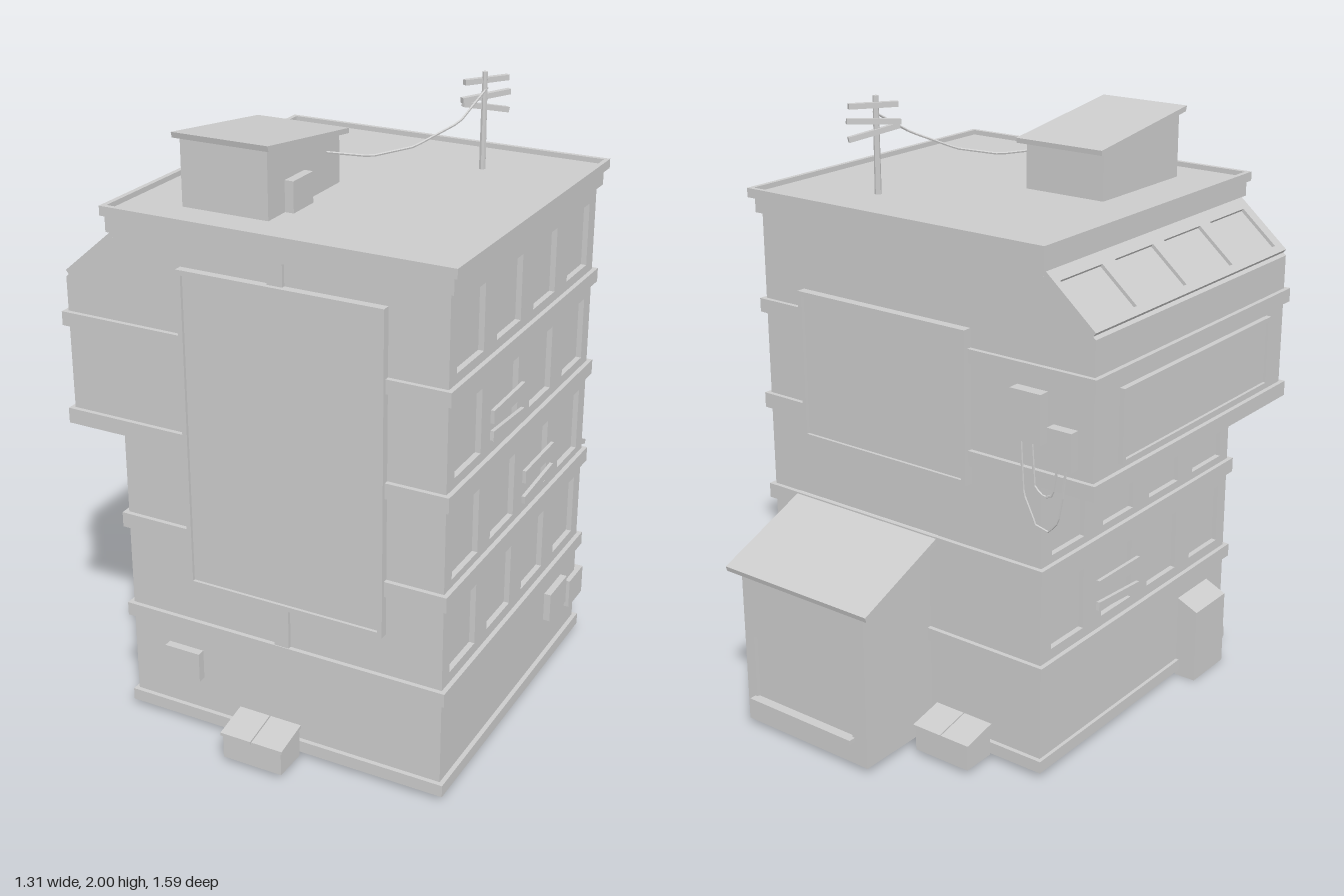
import * as THREE from 'three';

const mat = new THREE.MeshStandardMaterial({ color: 0xcccccc, flatShading: true, side: THREE.DoubleSide });

function add(parent, name, geo) {
  const m = new THREE.Mesh(geo, mat);
  m.name = name;
  parent.add(m);
  return m;
}
// Box given by its min and max on each axis
function box(parent, name, x0, x1, y0, y1, z0, z1) {
  const m = add(parent, name, new THREE.BoxGeometry(x1 - x0, y1 - y0, z1 - z0));
  m.position.set((x0 + x1) / 2, (y0 + y1) / 2, (z0 + z1) / 2);
  return m;
}
function rect(x0, x1, y0, y1) {
  return [[x0, y0], [x1, y0], [x1, y1], [x0, y1]].map(p => new THREE.Vector2(...p));
}
function extrude(points, holes, depth) {
  const s = new THREE.Shape(points);
  for (const h of holes) s.holes.push(new THREE.Path(h));
  return new THREE.ExtrudeGeometry(s, { depth, bevelEnabled: false });
}
// Profile of [z, y] points swept from x0 to x1
function sideProfile(parent, name, pts, x0, x1) {
  const m = add(parent, name, extrude(pts.map(([z, y]) => new THREE.Vector2(-z, y)), [], x1 - x0));
  m.rotation.y = Math.PI / 2;
  m.position.x = x0;
  return m;
}
// Horizontal ring band around a plan
function ring(parent, name, [x0, x1, z0, z1], [a0, a1, b0, b1], y0, y1) {
  const m = add(parent, name, extrude(rect(x0, x1, -z1, -z0), [rect(a0, a1, -b1, -b0)], y1 - y0));
  m.rotation.x = -Math.PI / 2;
  m.position.y = y0;
}
// Wall with window openings and panes set back; outer face at local z = 0
function windowWall(parent, name, u0, u1, v0, v1, windows, depth, paneZ) {
  const g = new THREE.Group();
  g.name = name;
  const wall = add(g, 'wall', extrude(rect(u0, u1, v0, v1), windows.map(w => rect(...w)), depth));
  wall.position.z = -depth;
  for (const [a, b, c, d] of windows) {
    box(g, 'windowPane', a, b, c, d, paneZ - 0.004, paneZ);
  }
  parent.add(g);
  return g;
}
// Board with a raised rim, standing on local z = 0
function framedBoard(parent, name, u0, u1, v0, v1, depth, rim) {
  const g = new THREE.Group();
  g.name = name;
  add(g, 'frame', extrude(rect(u0, u1, v0, v1), [rect(u0 + rim, u1 - rim, v0 + rim, v1 - rim)], depth));
  box(g, 'panel', u0 + rim, u1 - rim, v0 + rim, v1 - rim, 0, depth - 0.01);
  parent.add(g);
  return g;
}
function wire(parent, name, pts, r = 0.004) {
  const path = new THREE.CurvePath();
  const v = pts.map(p => new THREE.Vector3(...p));
  for (let i = 1; i < v.length; i++) path.add(new THREE.LineCurve3(v[i - 1], v[i]));
  add(parent, name, new THREE.TubeGeometry(path, (v.length - 1) * 4, r, 5));
}

export function createModel() {
  const model = new THREE.Group();
  model.name = 'building';
  const X0 = -0.46, X1 = 0.625, Z0 = -0.445, Z1 = 0.64;
  const T = 0.025;

  // Window grid: columns along z, rows along y
  const cols = [[0.41, 0.59], [0.145, 0.32], [-0.12, 0.05], [-0.39, -0.22]];
  const rows = [[0.42, 0.625], [0.735, 0.945], [1.06, 1.265], [1.38, 1.585]];

  // Hollow main body, open underneath
  box(model, 'frontWall', X0, X1, 0.02, 1.68, Z1 - T, Z1);
  box(model, 'backWall', X0, X1, 0.02, 1.68, Z0, Z0 + T);
  const leftWindows = rows.flatMap(r => cols.map(c => [-c[1], -c[0], ...r]));
  const leftWall = windowWall(model, 'leftWall', -Z1, -Z0, 0.02, 1.68, leftWindows, T, -0.018);
  leftWall.rotation.y = Math.PI / 2;
  leftWall.position.x = X1;
  const rightWindows = rows.slice(0, 2).flatMap(r => cols.map(c => [...c, ...r]));
  const rightWall = windowWall(model, 'rightWall', Z0, Z1, 0.02, 1.68, rightWindows, T, -0.018);
  rightWall.rotation.y = -Math.PI / 2;
  rightWall.position.x = X0;

  // Boards nailed over broken windows
  const boards = [
    [0.632, 0.2325, 1.152, 0.042, 0.01], [0.632, 0.2325, 1.083, 0.03, -0.07],
    [0.632, -0.035, 0.838, 0.042, 0.01], [0.632, -0.035, 0.765, 0.025, 0.07],
    [-0.467, -0.035, 0.535, 0.042, 0.01], [-0.467, -0.035, 0.46, 0.028, 0.07]];
  for (const [x, z, y, h, tilt] of boards) {
    const b = add(model, 'windowBoard', new THREE.BoxGeometry(0.012, h, 0.23));
    b.position.set(x, y, z);
    b.rotation.x = tilt;
  }

  // Storey bands and roof edge
  const inner = [X0 + 0.01, X1 - 0.01, Z0 + 0.01, Z1 - 0.01];
  for (const [y0, y1, x0] of [[0.02, 0.06, X0 - 0.012], [0.34, 0.385, -0.475], [0.66, 0.71, -0.475],
    [0.98, 1.03, -0.655], [1.305, 1.35, -0.655], [1.63, 1.68, -0.475]]) {
    ring(model, 'storeyBand', [x0, 0.64, -0.46, 0.655], inner, y0, y1);
  }
  box(model, 'roofDeck', X0, X1, 1.665, 1.688, Z0, Z1);
  ring(model, 'roofRim', [-0.488, 0.652, -0.48, 0.662], [-0.472, 0.637, -0.465, 0.646], 1.68, 1.71);
  box(model, 'roofSurface', -0.475, 0.64, 1.68, 1.694, -0.468, 0.65);

  // Overhanging upper storeys with slanted windows
  const bay = [[X0, 0.98], [-0.64, 0.98], [-0.64, 1.46], [-0.465, 1.61], [X0, 1.61]];
  const overhang = add(model, 'overhang', extrude(bay.map(p => new THREE.Vector2(...p)), [], Z1 - Z0));
  overhang.position.z = Z0;
  const skylights = [[-0.42, -0.21], [-0.145, 0.06], [0.12, 0.33], [0.39, 0.6]].map(c => [...c, 0.026, 0.185]);
  const slope = windowWall(model, 'slantedWindows', Z0, Z1, 0, 0.2305, skylights, 0.016, -0.011);
  const up = new THREE.Vector3(0.175, 0.15, 0).normalize();
  const along = new THREE.Vector3(0, 0, 1);
  slope.setRotationFromMatrix(new THREE.Matrix4().makeBasis(along, up, along.clone().cross(up)));
  slope.position.set(-0.64, 1.48, 0);

  // Large sign boards on three sides
  box(model, 'signPost', 0.065, 0.115, 0.385, 1.635, Z1 - 0.005, 0.652);
  framedBoard(model, 'frontSign', -0.23, 0.44, 0.525, 1.56, 0.027, 0.016).position.z = Z1;
  const sideSign = framedBoard(model, 'sideSign', -0.32, 0.53, 1.05, 1.285, 0.018, 0.014);
  sideSign.rotation.y = -Math.PI / 2;
  sideSign.position.x = -0.64;
  const backSign = framedBoard(model, 'backSign', -0.46, 0.2, 0.92, 1.41, 0.03, 0.016);
  backSign.rotation.y = Math.PI;
  backSign.position.z = Z0;

  // Lean-to at the back with a wide window and sill
  sideProfile(model, 'leanTo', [[Z0, 0.02], [-0.745, 0.02], [-0.745, 0.57], [Z0, 0.69]], -0.03, 0.48);
  const shedFace = windowWall(model, 'leanToFace', -0.48, 0.03, 0.02, 0.567, [[-0.44, -0.03, 0.11, 0.33]], 0.016, -0.012);
  shedFace.rotation.y = Math.PI;
  shedFace.position.z = -0.761;
  box(model, 'leanToSill', 0.02, 0.45, 0.1, 0.113, -0.785, -0.755);
  sideProfile(model, 'leanToRoof', [[Z0, 0.692], [-0.79, 0.553], [-0.795, 0.57], [Z0, 0.711]], -0.07, 0.515);

  // Bins with two slanted lids, front and back
  for (const [x, z, s, d] of [[0.055, 0.67, 1, 0.115], [-0.178, -0.465, -1, 0.115]]) {
    const bin = new THREE.Group();
    bin.name = 'bin';
    sideProfile(bin, 'binBody', [[0, 0.018], [d, 0.018], [d, 0.098], [0, 0.12]], -0.103, 0.103);
    for (const a of [-0.109, 0.002]) {
      sideProfile(bin, 'binLid', [[0, 0.121], [d + 0.005, 0.098], [d + 0.005, 0.108], [0, 0.132]], a, a + 0.107);
    }
    bin.position.set(x, 0, z);
    if (s < 0) bin.rotation.y = Math.PI;
    model.add(bin);
  }

  // Cellar entrance on the right side
  const hatch = [[X0, 0], [-0.535, 0], [-0.535, 0.258], [X0, 0.292]];
  const cellar = add(model, 'cellarEntrance', extrude(hatch.map(p => new THREE.Vector2(...p)), [], 0.185));
  cellar.position.z = 0.35;

  // Wall units
  box(model, 'wallUnit', -0.33, -0.205, 0.175, 0.275, Z1, 0.667);
  box(model, 'wallUnit', X1, 0.648, 0.19, 0.29, -0.31, -0.165);
  box(model, 'wallUnit', 0.6, 0.642, 0.14, 0.24, -0.482, -0.36);
  box(model, 'wallUnit', -0.48, -0.37, 1.12, 1.275, -0.482, Z0);
  box(model, 'wallUnit', -0.585, -0.5, 1.06, 1.18, -0.478, Z0);
  wire(model, 'wallCable', [[-0.56, 1.06, -0.467], [-0.55, 0.97, -0.468], [-0.535, 0.89, -0.468],
    [-0.5, 0.85, -0.468], [-0.455, 0.86, -0.467], [-0.41, 0.95, -0.467], [-0.4, 1.12, -0.467]]);
  wire(model, 'wallCable', [[-0.53, 1.06, -0.467], [-0.515, 0.97, -0.467], [-0.485, 0.955, -0.467],
    [-0.45, 0.98, -0.467], [-0.44, 1.12, -0.467]]);

  // Rooftop hut with slanted roof and door
  sideProfile(model, 'roofHut', [[0.09, 1.69], [0.515, 1.69], [0.515, 1.903], [0.09, 1.847]], -0.297, -0.007);
  sideProfile(model, 'roofHutRoof', [[0.06, 1.842], [0.535, 1.904], [0.54, 1.922], [0.058, 1.858]], -0.31, 0.01);
  box(model, 'roofHutDoor', -0.01, 0.022, 1.69, 1.79, 0.305, 0.42);

  // Utility pole with tilted crossarms and a sagging cable
  const pole = add(model, 'utilityPole', new THREE.CylinderGeometry(0.009, 0.011, 0.31, 8));
  pole.position.set(0.318, 1.845, -0.245);
  for (const [y, tilt, len] of [[1.972, 0, 0.155], [1.922, 0.06, 0.17], [1.888, -0.22, 0.165]]) {
    const arm = add(model, 'crossarm', new THREE.BoxGeometry(len, 0.017, 0.017));
    arm.position.set(0.318, y, -0.257);
    arm.rotation.set(0, 0.957, tilt);
  }
  wire(model, 'poleCable', [[-0.01, 1.808, 0.17], [0.02, 1.802, 0.145], [0.1, 1.79, 0.09], [0.2, 1.81, 0.0],
    [0.295, 1.87, -0.115], [0.325, 1.95, -0.25]]);

  return model;
}
